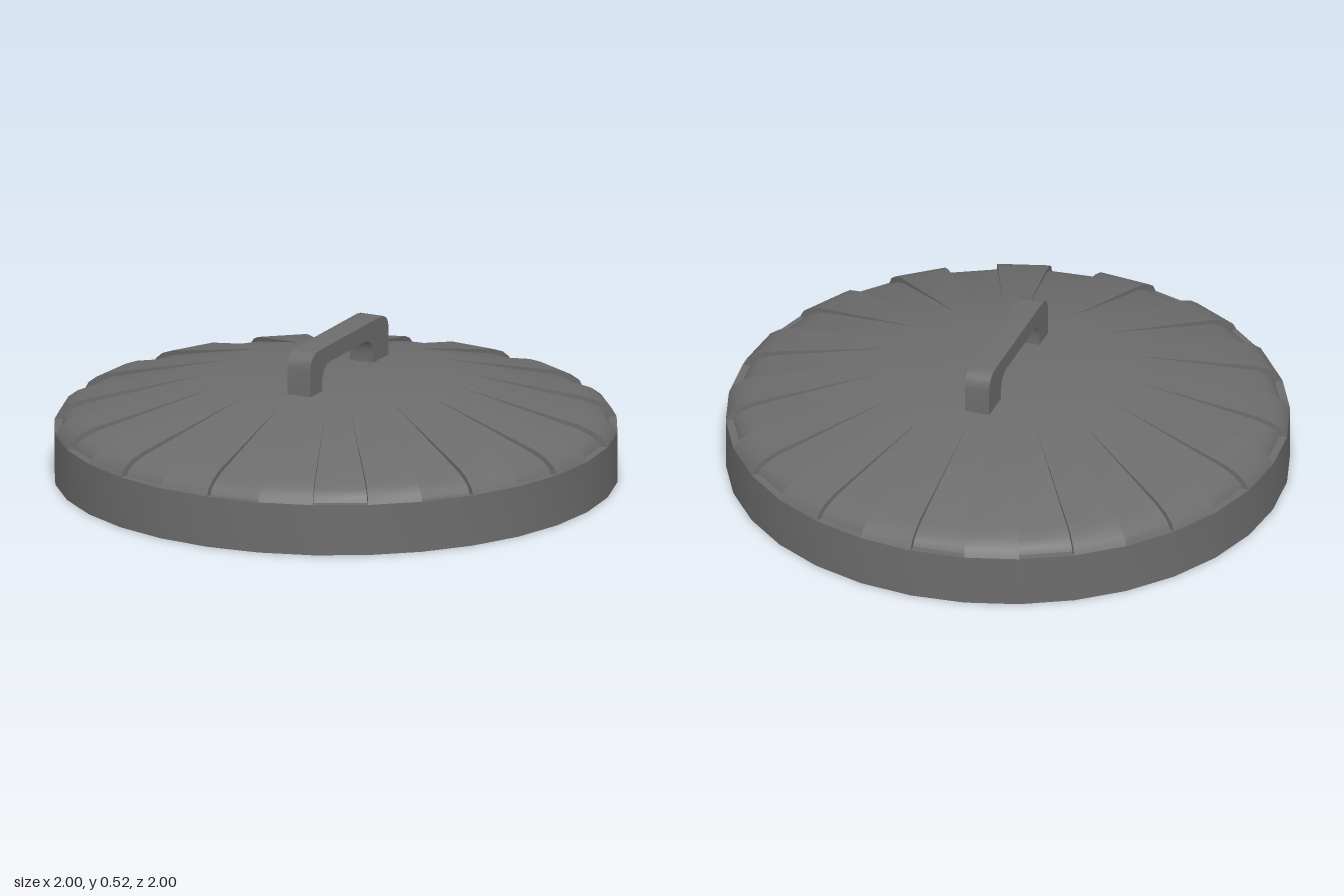
import * as THREE from 'three';
import { toCreasedNormals } from 'three/addons/utils/BufferGeometryUtils.js';

const SIDES = 32;
const CREASE = 0.6;

// Radius and height pairs, from the skirt up to the flat centre.
// The grooves grow shallower inwards and run out at the centre.
const RIB = [[1, 0.185], [0.985, 0.212], [0.95, 0.238], [0.9, 0.258], [0.43, 0.37]];
const GROOVE = [[0.972, 0.185], [0.962, 0.205], [0.935, 0.224], [0.89, 0.244], [0.43, 0.37]];

function makeMesh(name, geometry) {
  const material = new THREE.MeshStandardMaterial({ color: 0x6c6c6c });
  const mesh = new THREE.Mesh(toCreasedNormals(geometry, CREASE), material);
  mesh.name = name;
  return mesh;
}

// Outer skirt, bottom rim, inner wall and flat underside
function createSkirt() {
  const profile = [[0, 0.11], [0.92, 0.11], [0.92, 0], [1, 0], [1, 0.185]];
  return makeMesh('skirt', new THREE.LatheGeometry(
    profile.map(([r, y]) => new THREE.Vector2(r, y)), SIDES));
}

// Sloping cover: raised ribs and sunken grooves take turns around a flat centre
function createCover() {
  const positions = [];
  const at = ([r, y], t) => [r * Math.sin(t), y, r * Math.cos(t)];
  const triangle = (a, b, c) => positions.push(...a, ...b, ...c);
  const quad = (a, b, c, d) => { triangle(a, b, c); triangle(a, c, d); };
  const last = RIB.length - 1;
  const grooveFull = [RIB[0], ...GROOVE];

  for (let s = 0; s < SIDES; s++) {
    const t0 = (s / SIDES) * Math.PI * 2;
    const t1 = ((s + 1) / SIDES) * Math.PI * 2;
    const isGroove = s % 2 === 0;
    const profile = isGroove ? grooveFull : RIB;

    for (let i = 0; i < profile.length - 1; i++) {
      const p = profile[i], q = profile[i + 1];
      quad(at(p, t0), at(p, t1), at(q, t1), at(q, t0));
    }
    // Side walls of the groove, closing to a point at the centre
    if (isGroove) {
      for (let i = 0; i < last; i++) {
        const a = RIB[i], b = RIB[i + 1], c = GROOVE[i], d = GROOVE[i + 1];
        triangle(at(c, t0), at(b, t0), at(a, t0));
        triangle(at(a, t1), at(b, t1), at(c, t1));
        if (i < last - 1) {
          triangle(at(c, t0), at(d, t0), at(b, t0));
          triangle(at(b, t1), at(d, t1), at(c, t1));
        }
      }
    }
    // Flat centre
    triangle(at(RIB[last], t0), at(RIB[last], t1), [0, RIB[last][1], 0]);
  }

  const geometry = new THREE.BufferGeometry();
  geometry.setAttribute('position', new THREE.Float32BufferAttribute(positions, 3));
  return makeMesh('ribbedCover', geometry);
}

// Arched handle running front to back
function createHandle() {
  const width = 0.092;
  const shape = new THREE.Shape();
  shape.moveTo(-0.318, 0.36);
  shape.lineTo(-0.318, 0.465);
  shape.quadraticCurveTo(-0.318, 0.525, -0.25, 0.525);
  shape.lineTo(0.22, 0.525);
  shape.quadraticCurveTo(0.287, 0.525, 0.287, 0.465);
  shape.lineTo(0.287, 0.36);
  shape.lineTo(0.197, 0.36);
  shape.lineTo(0.197, 0.4);
  shape.quadraticCurveTo(0.195, 0.463, 0.13, 0.463);
  shape.lineTo(-0.13, 0.463);
  shape.quadraticCurveTo(-0.195, 0.463, -0.197, 0.4);
  shape.lineTo(-0.197, 0.36);
  shape.closePath();
  const geometry = new THREE.ExtrudeGeometry(shape, {
    depth: width, bevelEnabled: false, curveSegments: 4 });
  geometry.translate(0, 0, -width / 2);
  geometry.rotateY(-Math.PI / 2);
  return makeMesh('handle', geometry);
}

export function createModel() {
  const lid = new THREE.Group();
  lid.name = 'lid';
  lid.add(createSkirt(), createCover(), createHandle());
  return lid;
}
